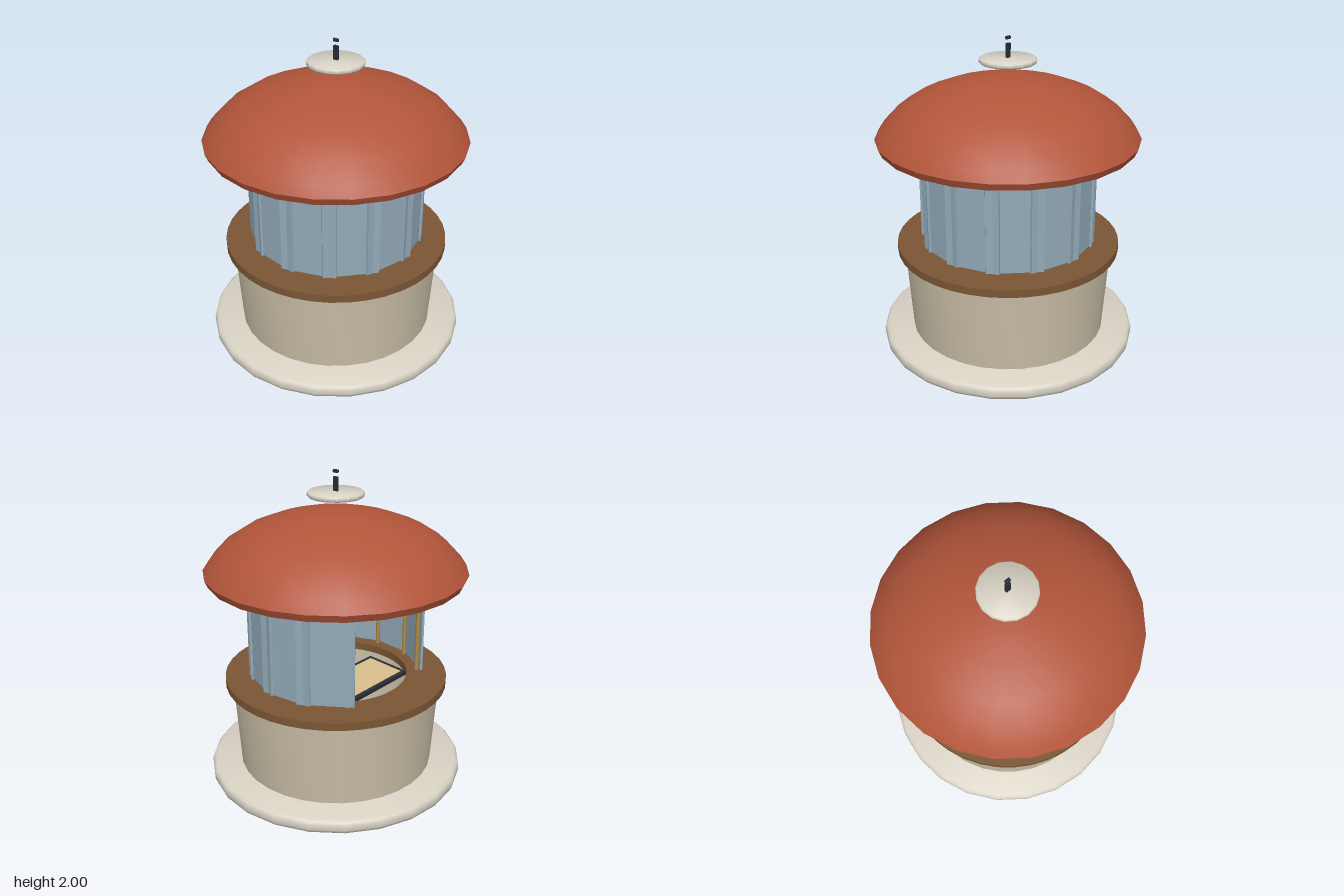
import * as THREE from 'three';
import { toCreasedNormals } from 'three/addons/utils/BufferGeometryUtils.js';

const mat = (color, side = THREE.FrontSide) => new THREE.MeshStandardMaterial({ color, side });
const stone = mat(0xd8d2c4);
const plaster = mat(0xc8bda6, THREE.DoubleSide);
const wood = mat(0x7a5634);
const brass = mat(0xb08a48);
const glass = mat(0x92aab8);
const tile = mat(0xb2553a, THREE.DoubleSide);
const dark = mat(0x2a2d36);
const tan = mat(0xd8be8c);

// Turned part from [radius, height] pairs, listed bottom to top on the outside
function turned(points, segments, crease = 0.5) {
  const profile = points.map(([r, y]) => new THREE.Vector2(r, y));
  return toCreasedNormals(new THREE.LatheGeometry(profile, segments), crease);
}

export function createModel() {
  const model = new THREE.Group();
  function add(name, geometry, material, x = 0, y = 0, z = 0, parent = model) {
    const mesh = new THREE.Mesh(geometry, material);
    mesh.name = name;
    mesh.position.set(x, y, z);
    parent.add(mesh);
    return mesh;
  }

  // Round plinth with softened edges
  add('plinth', turned([
    [0, 0], [0.805, 0], [0.823, 0.01], [0.83, 0.03], [0.83, 0.06],
    [0.823, 0.08], [0.805, 0.09], [0, 0.09],
  ], 24, 0.8), stone);

  // Hollow, slightly flared lower wall
  add('lowerWall', turned([
    [0.635, 0.085], [0.67, 0.645], [0.63, 0.645], [0.6, 0.085],
  ], 32), plaster);

  // Flat wooden counter ring
  add('counterRing', turned([
    [0.46, 0.64], [0.715, 0.64], [0.715, 0.69], [0.46, 0.69], [0.46, 0.64],
  ], 40), wood);

  // Thirteen-sided screen of posts and panels, three bays left open at the back
  const step = (Math.PI * 2) / 13;
  const postGeometry = new THREE.CylinderGeometry(0.014, 0.014, 0.69, 8);
  for (let i = -5; i <= 5; i++) {
    const a = i * step;
    add('post', postGeometry, brass, 0.525 * Math.sin(a), 1.035, 0.525 * Math.cos(a));
  }
  const panelGeometry = new THREE.BoxGeometry(0.345, 0.655, 0.015);
  for (let i = -5; i < 5; i++) {
    const a = (i + 0.5) * step;
    const panel = add('windowPanel', panelGeometry, glass,
      0.527 * Math.sin(a), 1.03, 0.527 * Math.cos(a));
    panel.rotation.y = a;
  }

  // Slightly tilted desk in the opening
  const desk = new THREE.Group();
  desk.name = 'desk';
  desk.position.set(0, 0.685, -0.21);
  desk.rotation.x = -0.06;
  model.add(desk);
  add('deskFrame', new THREE.BoxGeometry(0.57, 0.025, 0.3), dark, 0, 0, 0, desk);
  add('deskTop', new THREE.BoxGeometry(0.51, 0.01, 0.25), tan, 0, 0.011, 0, desk);

  // Hollow domed roof with a turned-in rim
  add('roof', turned([
    [0.8, 1.345], [0.82, 1.39], [0.78, 1.45], [0.685, 1.55], [0.56, 1.63],
    [0.4, 1.693], [0.23, 1.738], [0, 1.775],
  ], 24, 0.7), tile);
  const trim = add('eavesTrim', new THREE.TorusGeometry(0.782, 0.014, 8, 24), wood, 0, 1.357, 0);
  trim.rotation.x = Math.PI / 2;

  // Raised cap disc with a small mast and crosspiece
  add('capDisc', turned([
    [0, 1.838], [0.168, 1.838], [0.176, 1.846], [0.176, 1.862], [0.168, 1.87], [0, 1.87],
  ], 16, 0.8), stone);
  add('mast', new THREE.BoxGeometry(0.018, 0.087, 0.03), dark, 0, 1.912, 0);
  const tip = add('mastTip', new THREE.CylinderGeometry(0.011, 0.011, 0.03, 10), dark, 0, 1.989, 0);
  tip.rotation.x = Math.PI / 2;

  return model;
}
